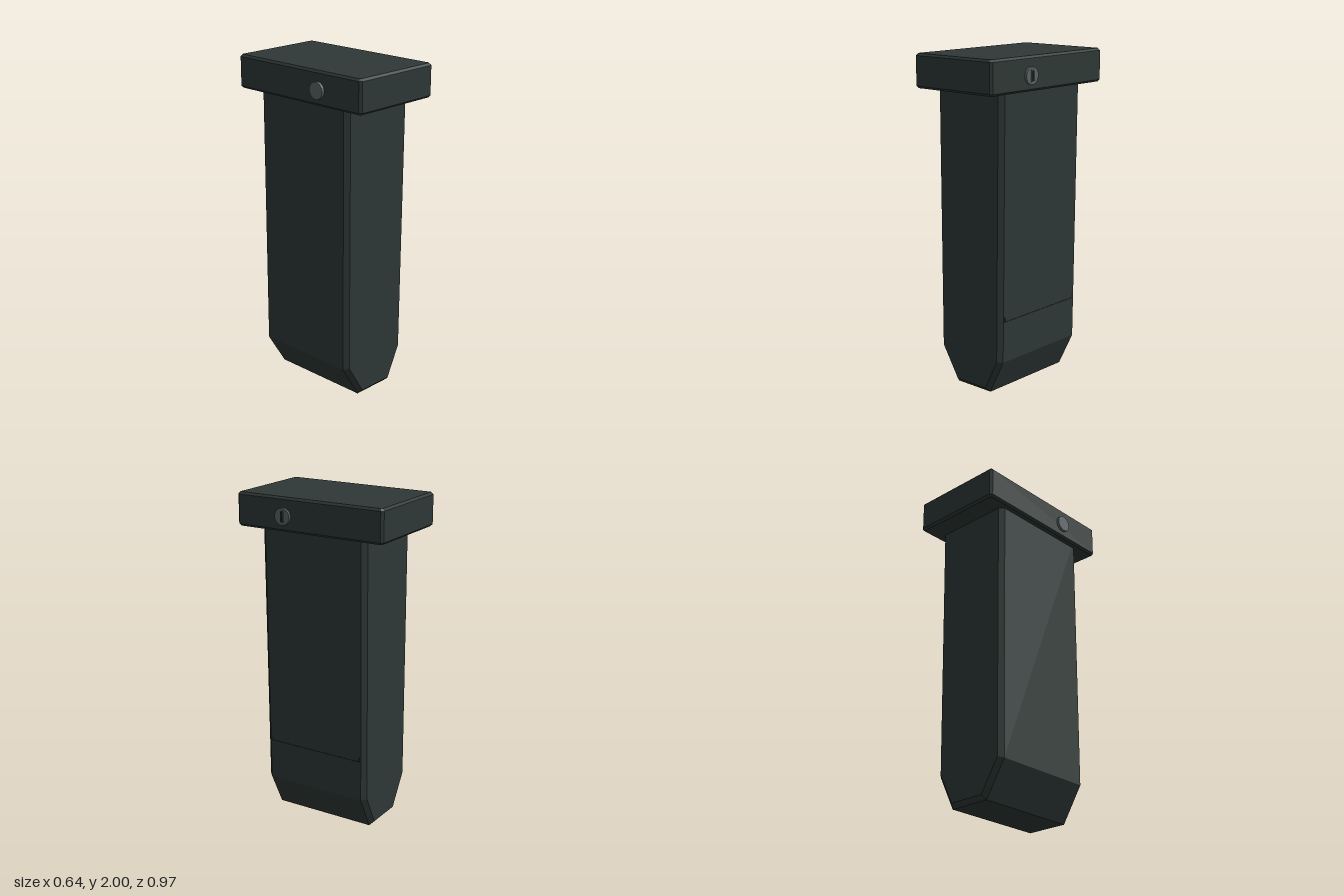
import * as THREE from 'three';

export function createModel() {
  const group = new THREE.Group();
  const shell = new THREE.MeshStandardMaterial({ name: 'dark green grey', color: 0x2e3836 });
  const metal = new THREE.MeshStandardMaterial({ name: 'lock metal', color: 0x5c6466 });
  const dark = new THREE.MeshStandardMaterial({ name: 'dark gap', color: 0x1c2221 });

  const add = (name, geometry, material, x = 0, y = 0, z = 0) => {
    const mesh = new THREE.Mesh(geometry, material);
    mesh.name = name;
    mesh.position.set(x, y, z);
    group.add(mesh);
    return mesh;
  };

  // Extrudes an outline to a total depth, chamfering inward at both ends
  const chamferedExtrude = (points, depth, bevel) => {
    const shape = new THREE.Shape(points.map(([x, y]) => new THREE.Vector2(x, y)));
    const geometry = new THREE.ExtrudeGeometry(shape, {
      depth: depth - 2 * bevel, bevelEnabled: true, bevelSegments: 1,
      bevelSize: bevel, bevelThickness: bevel, bevelOffset: -bevel,
    });
    return geometry.translate(0, 0, bevel - depth / 2);
  };

  // Tapered body with sloping foot
  add('body', chamferedExtrude([
    [-0.135, 0], [0.127, 0], [0.23, 0.21], [0.248, 1.85], [-0.265, 1.85], [-0.265, 0.21],
  ], 0.7, 0.027), shell);

  // Overhanging cap with chamfered corners
  const w = 0.3, d = 0.485, c = 0.014;
  const cap = chamferedExtrude([
    [-w + c, -d], [w - c, -d], [w, -d + c], [w, d - c],
    [w - c, d], [-w + c, d], [-w, d - c], [-w, -d + c],
  ], 0.2, 0.013).rotateX(-Math.PI / 2);
  add('cap', cap, shell, -0.005, 1.9, 0);

  // Lock barrel on the left, plain plug on the right
  const disc = (radius, depth) => new THREE.CylinderGeometry(radius, radius, depth, 28).rotateZ(Math.PI / 2);
  const lockY = 1.89, lockZ = 0.163;
  add('lockBarrel', disc(0.05, 0.04), metal, 0.29, lockY, lockZ);
  add('lockPlug', disc(0.05, 0.04), metal, -0.302, lockY, lockZ);
  add('keySlotRim', new THREE.BoxGeometry(0.004, 0.072, 0.024), metal, 0.311, lockY, lockZ);
  add('keySlot', new THREE.BoxGeometry(0.008, 0.06, 0.012), dark, 0.314, lockY, lockZ);

  // Shallow panel seam across the lower left side, with short upturned ends
  const seam = (name, height, length, y, z) =>
    add(name, new THREE.BoxGeometry(0.004, height, length), dark, 0.23 + (y - 0.21) * 0.011, y, z);
  seam('panelSeam', 0.004, 0.62, 0.46, 0);
  for (const side of [-1, 1]) seam('panelSeamEnd', 0.03, 0.005, 0.475, side * 0.31);

  return group;
}
